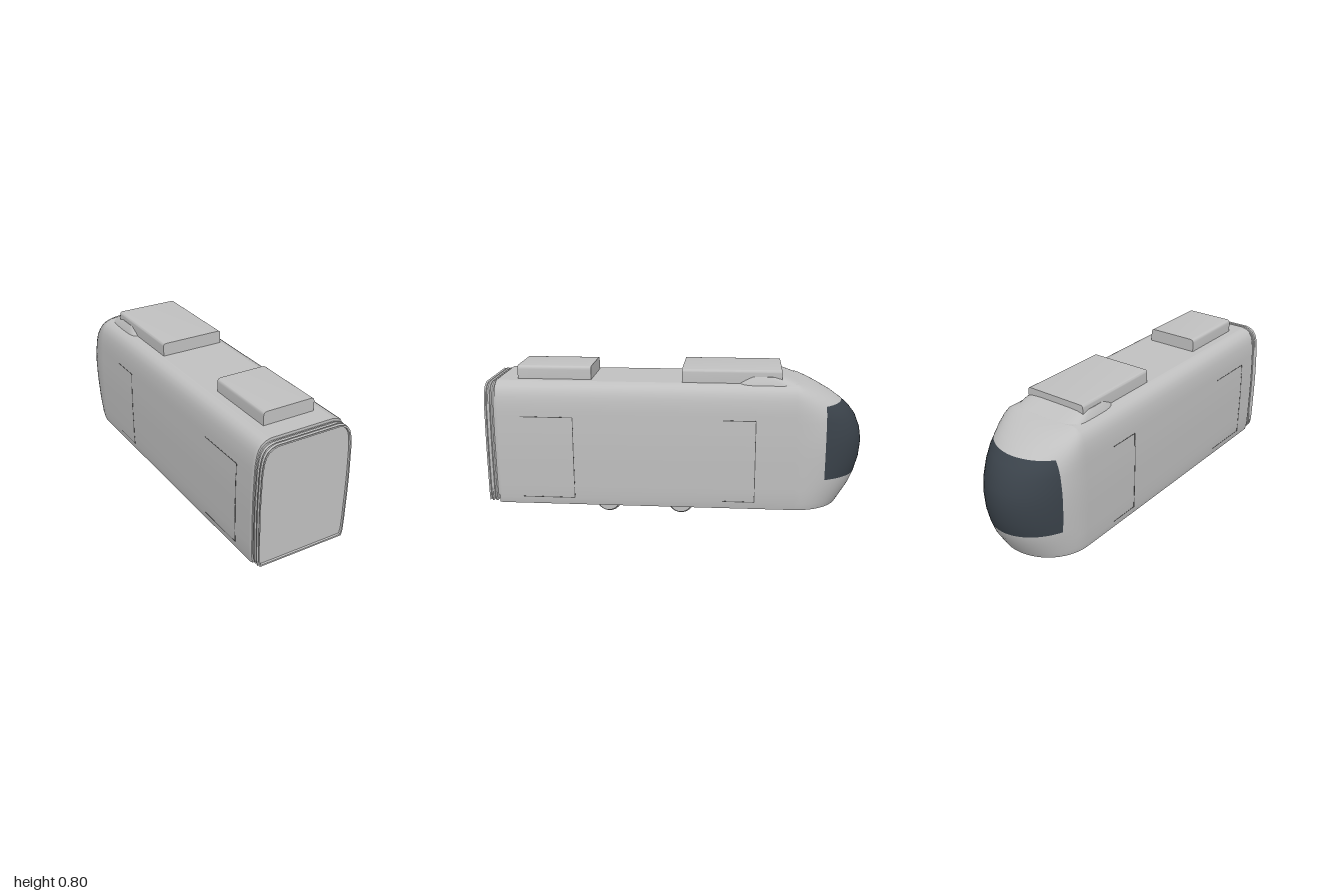
import * as THREE from 'three';
import { toCreasedNormals } from 'three/addons/utils/BufferGeometryUtils.js';

const paint = new THREE.MeshStandardMaterial({ color: 0xc0c0c0 });
paint.name = 'greyPaint';
const glass = new THREE.MeshStandardMaterial({ color: 0x3a424a });
glass.name = 'darkGlass';
const seam = new THREE.MeshStandardMaterial({ color: 0x606060 });
seam.name = 'seamGrey';

// Body layers: height, half width, z of the nose tip
const LAYERS = [
  [0.065, 0.25, -0.88], [0.1, 0.257, -0.902], [0.17, 0.26, -0.945], [0.23, 0.261, -0.97],
  [0.31, 0.263, -0.992], [0.4, 0.264, -1], [0.47, 0.263, -0.989], [0.54, 0.261, -0.961],
  [0.585, 0.26, -0.926], [0.62, 0.257, -0.885], [0.655, 0.252, -0.835], [0.685, 0.243, -0.78],
  [0.708, 0.228, -0.73], [0.722, 0.207, -0.69], [0.73, 0.18, -0.658],
];
const REAR = 0.945, NOSE = -0.64;

// Surface through equal rows of points; accent faces go to a second group
function grid(rows, isAccent = () => false) {
  const n = rows[0].length, main = [], accent = [];
  for (let j = 0; j < rows.length - 1; j++) {
    for (let i = 0; i < n - 1; i++) {
      const a = j * n + i, b = a + n;
      (isAccent(i, j) ? accent : main).push(a, a + 1, b + 1, a, b + 1, b);
    }
  }
  const g = new THREE.BufferGeometry();
  g.setAttribute('position', new THREE.Float32BufferAttribute(rows.flat(2), 3));
  g.setIndex([...main, ...accent]);
  g.addGroup(0, main.length, 0);
  if (accent.length) g.addGroup(main.length, accent.length, 1);
  g.computeVertexNormals();
  return g;
}

// Flat cap joining the two mirrored halves of a ring
function cap(ring, up) {
  const rows = [];
  for (let i = 0; i < Math.floor(ring.length / 2); i++) {
    const pair = [ring[i], ring[ring.length - 1 - i]];
    rows.push(up ? pair.reverse() : pair);
  }
  return grid(rows);
}

function halfWidth(y) {
  const k = Math.max(1, LAYERS.findIndex((l) => l[0] >= y));
  const [a, b] = [LAYERS[k - 1], LAYERS[k]];
  return a[1] + (b[1] - a[1]) * (y - a[0]) / (b[0] - a[0]);
}

// Plan outline of one layer, from the +x rear corner round the nose
const SIDE = 6, FRONT = 25;
function planRing([y, w, tip]) {
  const b = NOSE - tip, edge = Math.asin(Math.min(0.155 / b, 0.62));
  const pts = [[w - 0.006, y, REAR], [w, y, REAR - 0.015]];
  const angles = [];
  for (let i = 0; i < SIDE; i++) angles.push(edge * i / SIDE);
  for (let i = 0; i <= FRONT; i++) angles.push(edge + (Math.PI - 2 * edge) * i / FRONT);
  for (let i = SIDE - 1; i >= 0; i--) angles.push(Math.PI - edge * i / SIDE);
  for (const t of angles) pts.push([w * Math.cos(t), y, NOSE - b * Math.sin(t)]);
  pts.push([-w, y, REAR - 0.015], [-w + 0.006, y, REAR]);
  return pts;
}

// Closed cross-section of the body, scaled about its middle
function section(s, z) {
  const right = LAYERS.map(([y, w]) => [w * s, 0.4 + (y - 0.4) * s, z]);
  const left = right.map(([x, y]) => [-x, y, z]).reverse();
  return [...right, ...left, right[0]];
}

export function createModel() {
  const model = new THREE.Group();
  const add = (name, geo, mat = paint, parent = model) => {
    const m = new THREE.Mesh(geo, mat);
    m.name = name;
    parent.add(m);
    return m;
  };

  // Shell with the wraparound windscreen as its second group
  const rings = LAYERS.map(planRing);
  const first = 2 + SIDE;
  add('bodyShell', grid(rings, (i, j) => j >= 3 && j < 9 && i >= first && i < first + FRONT), [paint, glass]);
  add('roofPanel', cap(rings[rings.length - 1], true));
  add('floor', cap(rings[0], false));
  add('rearWall', grid(LAYERS.map(([y, w]) => [[-w + 0.006, y, REAR], [w - 0.006, y, REAR]])));

  // Ribbed gangway with a recessed end panel
  const ribs = [[0.955, 0.94], [0.957, 0.952], [0.975, 0.958], [0.975, 0.966], [0.957, 0.972],
    [0.975, 0.979], [0.975, 0.986], [0.957, 0.992], [0.97, 1], [0.945, 1], [0.94, 0.99]];
  add('gangwayBellows', toCreasedNormals(grid(ribs.map(([s, z]) => section(s, z))), 0.6));
  const panel = new THREE.Shape(section(0.942, 0).slice(0, -1).map(([x, y]) => new THREE.Vector2(x, y)));
  add('gangwayPanel', new THREE.ShapeGeometry(panel)).position.z = 0.99;

  // Roof equipment boxes with softened long edges
  const roofBox = (name, w, z0, z1, c) => {
    const s = new THREE.Shape();
    const y0 = 0.725, y1 = 0.8;
    s.moveTo(-w, y0);
    s.lineTo(w, y0);
    s.lineTo(w, y1 - c);
    s.quadraticCurveTo(w, y1, w - c, y1);
    s.lineTo(-w + c, y1);
    s.quadraticCurveTo(-w, y1, -w, y1 - c);
    const g = new THREE.ExtrudeGeometry(s, { depth: z1 - z0, bevelEnabled: false, curveSegments: 4 });
    add(name, toCreasedNormals(g, 0.6)).position.z = z0;
  };
  roofBox('frontRoofBox', 0.175, -0.56, -0.04, 0.015);
  roofBox('rearRoofBox', 0.142, 0.445, 0.84, 0.02);

  // Sloped fairing under the front roof box
  const fairing = [[0.712, 0.203, -0.29, -0.7], [0.735, 0.198, -0.32, -0.645], [0.766, 0.178, -0.37, -0.56]]
    .map(([y, w, z0, z1]) => {
      const pts = [];
      for (let i = 0; i <= 40; i++) {
        const t = -Math.PI / 2 + Math.PI * 2 * i / 40;
        const p = (v) => Math.sign(v) * Math.pow(Math.abs(v), 0.45);
        pts.push([w * p(Math.cos(t)), y, (z0 + z1) / 2 - (z0 - z1) / 2 * p(Math.sin(t))]);
      }
      return pts;
    });
  add('roofFairing', grid(fairing));
  add('roofFairingTop', cap(fairing[2], true));

  // Door seams following the side walls
  for (const side of [-1, 1]) {
    for (const [z0, z1] of [[0.53, 0.81], [-0.43, -0.26]]) {
      const door = new THREE.Group();
      door.name = side > 0 ? 'leftDoorSeams' : 'rightDoorSeams';
      model.add(door);
      for (const y of [0.105, 0.55]) {
        add('doorSeamLevel', new THREE.BoxGeometry(0.004, 0.004, z1 - z0), seam, door)
          .position.set(side * (halfWidth(y) - 0.001), y, (z0 + z1) / 2);
      }
      const z = side > 0 ? z0 : z1;
      for (let k = 0; k < 6; k++) {
        const y = 0.105 + 0.445 * (k + 0.5) / 6;
        add('doorSeamUpright', new THREE.BoxGeometry(0.004, 0.445 / 6, 0.004), seam, door)
          .position.set(side * (halfWidth(y) - 0.001), y, z);
      }
    }
  }

  // Flanged wheels and axles
  const profile = [[0, -0.015], [0.06, -0.015], [0.069, -0.01], [0.07, -0.006], [0.063, 0], [0.06, 0.014], [0, 0.014]]
    .map(([r, y]) => new THREE.Vector2(r, y));
  const wheelGeo = toCreasedNormals(new THREE.LatheGeometry(profile, 32), 0.6);
  for (const z of [0.36, -0.035]) {
    for (const side of [-1, 1]) {
      const wheel = add('wheel', wheelGeo);
      wheel.position.set(side * 0.166, 0.07, z);
      wheel.rotation.z = -side * Math.PI / 2;
    }
    const axle = add('axle', new THREE.CylinderGeometry(0.01, 0.01, 0.32, 12));
    axle.position.set(0, 0.069, z);
    axle.rotation.z = Math.PI / 2;
  }
  return model;
}
